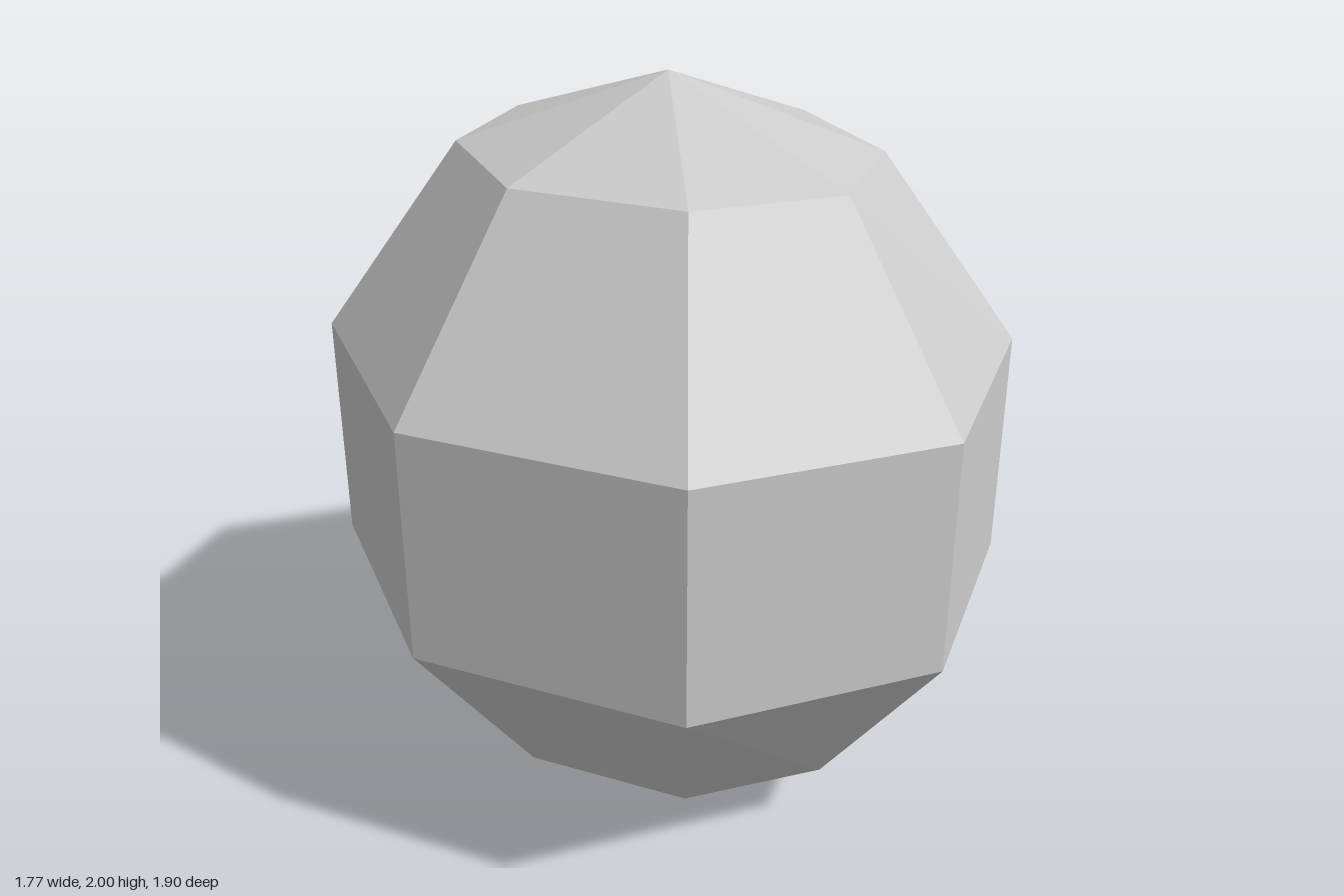
import * as THREE from 'three';

export function createModel() {
  const group = new THREE.Group();
  group.name = 'facetedBall';

  const grey = new THREE.MeshStandardMaterial({ color: 0xcccccc, flatShading: true });
  grey.name = 'light grey';

  // Eight-sided ball with five bands, squeezed inward along x about its middle seam
  const inset = 0.068;
  const geometry = new THREE.SphereGeometry(1, 8, 5);
  const position = geometry.attributes.position;
  for (let i = 0; i < position.count; i++) {
    const x = position.getX(i);
    position.setX(i, Math.abs(x) < 1e-4 ? 0 : x - Math.sign(x) * inset);
  }
  geometry.translate(0, 1, 0);
  geometry.computeVertexNormals();

  const ball = new THREE.Mesh(geometry, grey);
  ball.name = 'ball';
  group.add(ball);
  return group;
}
